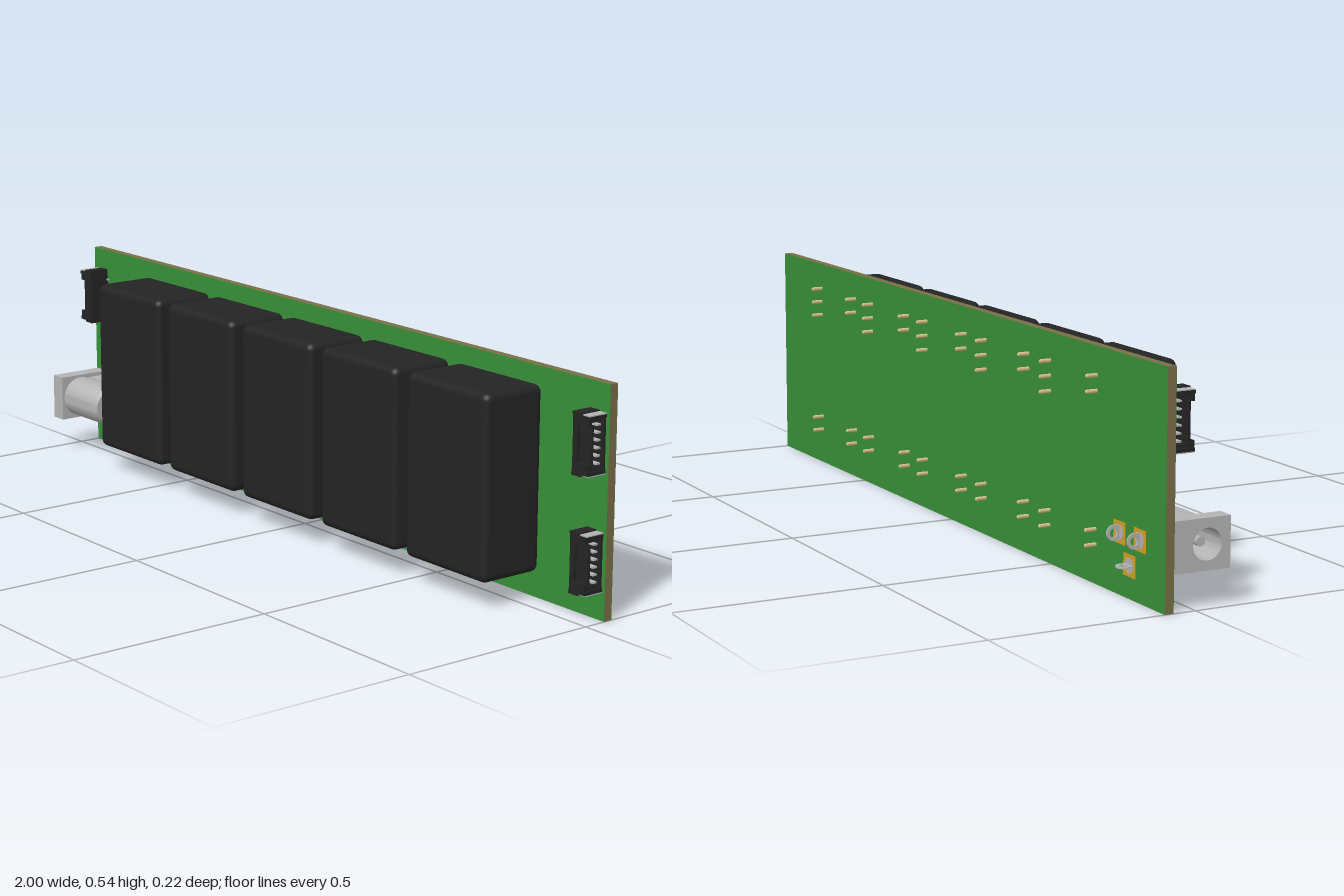
import * as THREE from 'three';
import { toCreasedNormals } from 'three/addons/utils/BufferGeometryUtils.js';
import { RoundedBoxGeometry } from 'three/addons/geometries/RoundedBoxGeometry.js';

const mat = (color) => new THREE.MeshStandardMaterial({ color });
const green = mat(0x389038), brown = mat(0x7a6d48), black = mat(0x242424);
const steel = mat(0xb4b4b4), gold = mat(0xd2c084), pad = mat(0xd6a01e);

const FRONT = -0.055, BACK = -0.077, HEIGHT = 0.535;

function add(parent, name, geometry, material, x = 0, y = 0, z = 0) {
  const mesh = new THREE.Mesh(geometry, material);
  mesh.name = name;
  mesh.position.set(x, y, z);
  parent.add(mesh);
  return mesh;
}

// Box given by its limits on each axis
function box(parent, name, material, x0, x1, y0, y1, z0, z1) {
  return add(parent, name, new THREE.BoxGeometry(x1 - x0, y1 - y0, z1 - z0), material,
    (x0 + x1) / 2, (y0 + y1) / 2, (z0 + z1) / 2);
}

function group(parent, name, x = 0, y = 0, z = 0) {
  const g = new THREE.Group();
  g.name = name;
  g.position.set(x, y, z);
  parent.add(g);
  return g;
}

// Black rounded relay with solder pins behind the board
function relay(parent, x) {
  const g = group(parent, 'relay', x);
  add(g, 'relayCase', new RoundedBoxGeometry(0.277, 0.433, 0.167, 4, 0.018), black, 0, 0.2795, 0.0285);
  const rows = { '-0.106': [0.47, 0.435, 0.125, 0.09], '0.104': [0.47, 0.435, 0.4, 0.125, 0.09] };
  for (const [px, ys] of Object.entries(rows)) {
    for (const y of ys) {
      const pin = add(g, 'relayPin', new THREE.CylinderGeometry(0.005, 0.005, 0.046, 12), gold, +px, y, -0.079);
      pin.rotation.x = Math.PI / 2;
      pin.scale.x = 0.7;
      const tip = add(g, 'relayPinTip', new THREE.SphereGeometry(0.005, 12, 8), gold, +px, y, -0.102);
      tip.scale.x = 0.7;
    }
  }
}

// Six-way side-entry socket, opening towards local +x
function connector(parent, x, y, turned) {
  const g = group(parent, 'connector', x, y, FRONT);
  if (turned) g.rotation.z = Math.PI;
  box(g, 'connectorBack', black, -0.026, -0.012, -0.062, 0.062, 0.002, 0.05);
  box(g, 'connectorFloor', black, -0.026, 0.024, -0.062, 0.062, 0, 0.006);
  box(g, 'connectorRoof', black, -0.022, 0.024, -0.045, 0.045, 0.036, 0.042);
  for (const s of [-1, 1]) {
    const wall = (name, m, x0, x1, a, b, z0, z1) =>
      box(g, name, m, x0, x1, Math.min(s * a, s * b), Math.max(s * a, s * b), z0, z1);
    wall('connectorWall', black, -0.024, 0.026, 0.058, 0.066, 0, 0.053);
    wall('connectorShoulder', black, -0.022, 0.024, 0.042, 0.06, 0.042, 0.052);
    wall('connectorGuide', black, -0.02, 0.018, 0.05, 0.06, 0.006, 0.042);
    wall('connectorAnchor', steel, 0.0, 0.026, 0.066, 0.0685, 0, 0.05);
    wall('connectorEar', black, -0.026, 0.004, 0.066, 0.071, 0, 0.053);
  }
  for (let i = 0; i < 6; i++) {
    const py = (i - 2.5) * 0.0174;
    box(g, 'connectorPin', steel, -0.014, 0.02, py - 0.002, py + 0.002, 0.011, 0.023);
    box(g, 'connectorLead', steel, -0.034, -0.024, py - 0.002, py + 0.002, 0, 0.004);
  }
}

// Flat solder lug with an eyelet, pointing back
function lug(parent, x, y, flat) {
  const s = new THREE.Shape();
  s.moveTo(-0.018, 0.04);
  s.lineTo(-0.018, 0);
  s.absarc(0, 0, 0.018, Math.PI, Math.PI * 2, false);
  s.lineTo(0.018, 0.04);
  s.closePath();
  const eye = new THREE.Path();
  eye.absarc(0, 0, 0.01, 0, Math.PI * 2, true);
  s.holes.push(eye);
  const geo = new THREE.ExtrudeGeometry(s, { depth: 0.004, bevelEnabled: false, curveSegments: 16 });
  geo.translate(0, 0, -0.002);
  geo.rotateX(Math.PI / 2);
  if (!flat) geo.rotateZ(Math.PI / 2);
  add(parent, 'jackLug', geo, steel, x, y, -0.092);
}

function powerJack(parent) {
  const g = group(parent, 'powerJack');
  const cy = 0.142, cz = 0.029;

  // Square face plate with round opening
  const s = new THREE.Shape();
  s.moveTo(-0.058, -0.084);
  s.lineTo(0.058, -0.084);
  s.lineTo(0.058, 0.058);
  s.lineTo(-0.058, 0.058);
  s.closePath();
  const hole = new THREE.Path();
  hole.absarc(0, 0, 0.036, 0, Math.PI * 2, true);
  s.holes.push(hole);
  const plate = new THREE.ExtrudeGeometry(s, { depth: 0.042, bevelEnabled: false, curveSegments: 24 });
  plate.rotateY(-Math.PI / 2);
  // turn the outline so its long side runs along z
  plate.rotateX(Math.PI / 2);
  add(g, 'jackFace', plate, steel, -0.955, cy, cz);

  // Barrel: bore, wall and stepped rear end
  const profile = [[0, -0.84], [0.036, -0.84], [0.036, -0.99], [0.052, -0.99], [0.052, -0.81],
    [0.047, -0.802], [0.032, -0.802], [0.032, -0.812], [0.018, -0.812], [0.018, -0.806], [0, -0.806]];
  const barrel = new THREE.LatheGeometry(profile.map(([r, a]) => new THREE.Vector2(r, a)), 40);
  barrel.rotateZ(-Math.PI / 2);
  add(g, 'jackBarrel', toCreasedNormals(barrel, 0.6), steel, 0, cy, cz);
  const pin = add(g, 'jackCentrePin', new THREE.CylinderGeometry(0.011, 0.011, 0.13, 20), steel, -0.905, cy, cz);
  pin.rotation.z = Math.PI / 2;

  // Base block: two sides and a floor around the barrel
  box(g, 'jackFloor', steel, -0.94, -0.804, 0.09, 0.194, FRONT, -0.022);
  for (const y of [0.09, 0.18]) box(g, 'jackCheek', steel, -0.94, -0.804, y, y + 0.014, FRONT, 0.012);

  for (const [x, y, flat] of [[-0.808, 0.14, false], [-0.895, 0.14, false], [-0.852, 0.075, true]]) {
    lug(g, x, y, flat);
    box(g, 'solderPad', pad, x - 0.025, x + 0.025, y - 0.025, y + 0.025, BACK - 0.0012, FRONT + 0.0012);
    for (const z of [BACK - 0.0012, FRONT + 0.0012]) {
      const ring = add(g, 'solderSpot', new THREE.CylinderGeometry(0.018, 0.018, 0.001, 24), steel, x, y, z);
      ring.rotation.x = Math.PI / 2;
    }
  }
}

export function createModel() {
  const model = new THREE.Group();
  model.name = 'relayBoard';

  // Board core with a green skin on both faces
  box(model, 'boardCore', brown, -1, 1, 0, HEIGHT, BACK + 0.0006, FRONT - 0.0006);
  box(model, 'boardFrontSkin', green, -1, 1, 0, HEIGHT, FRONT - 0.0006, FRONT);
  box(model, 'boardBackSkin', green, -1, 1, 0, HEIGHT, BACK, BACK + 0.0006);

  for (let i = 0; i < 5; i++) relay(model, -0.599 + i * 0.3128);

  connector(model, 0.965, 0.402, false);
  connector(model, 0.965, 0.133, false);
  connector(model, -0.965, 0.412, true);

  powerJack(model);

  // Round contact dots
  for (const x of [-0.88, -0.775]) {
    const dot = add(model, 'contactDot', new THREE.CylinderGeometry(0.017, 0.017, 0.002, 24), steel, x, 0.28, FRONT);
    dot.rotation.x = Math.PI / 2;
  }
  return model;
}
